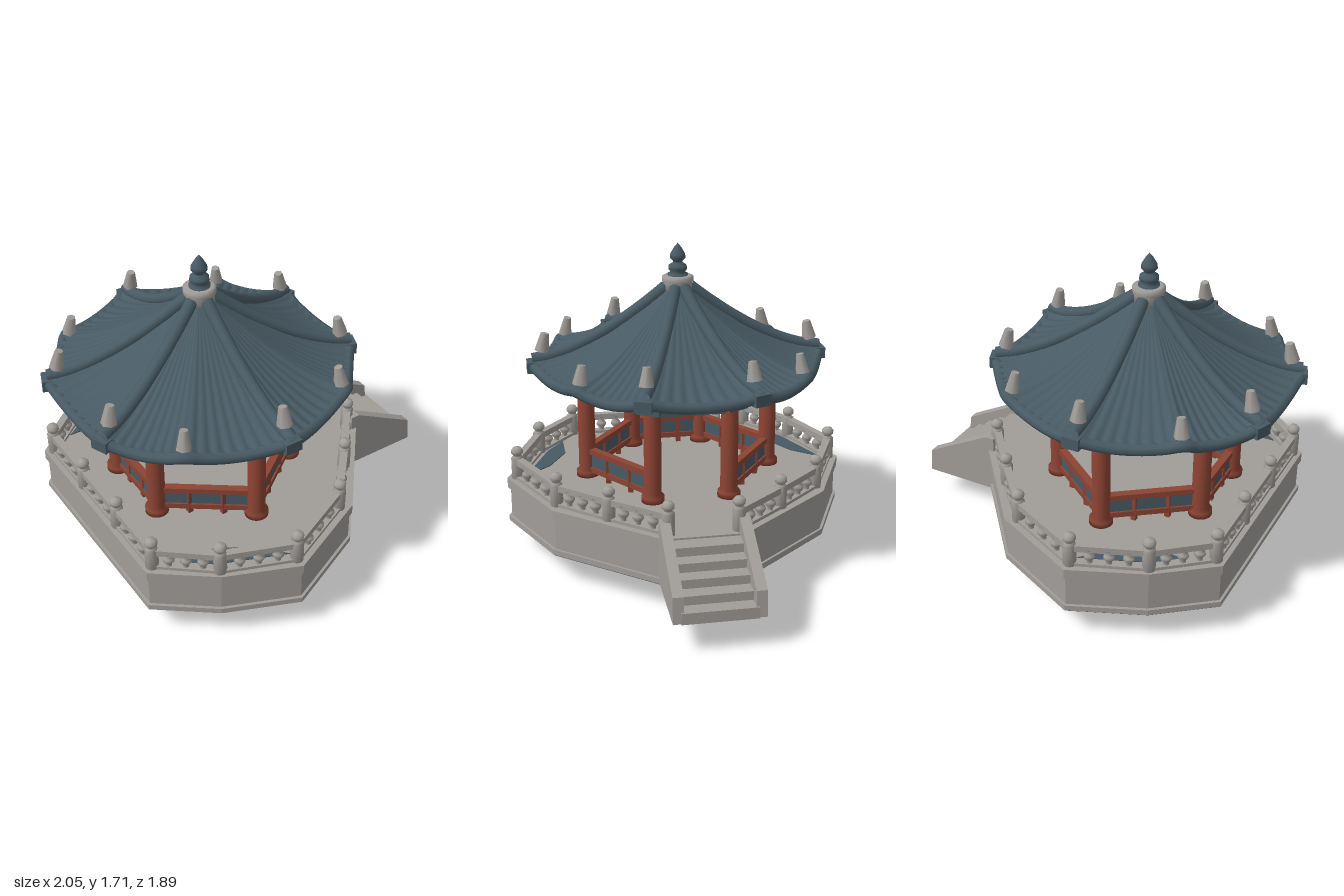
import * as THREE from 'three';

const CX = -0.27, CZ = -0.01; // pavilion axis

export function createModel() {
  const mat = (name, color, side = THREE.FrontSide) => {
    const m = new THREE.MeshStandardMaterial({ color, side });
    m.name = name;
    return m;
  };
  const slate = mat('slate blue', 0x485a64);
  const stone = mat('grey stone', 0xa19d99);
  const red = mat('red timber', 0x8c4333);

  const root = new THREE.Group();
  root.name = 'pavilion';
  const add = (name, geo, m, x = 0, y = 0, z = 0, parent = root) => {
    const mesh = new THREE.Mesh(geo, m);
    mesh.name = name;
    mesh.position.set(x, y, z);
    parent.add(mesh);
    return mesh;
  };
  const lathe = (pts, seg = 16) => new THREE.LatheGeometry(pts.map(p => new THREE.Vector2(...p)), seg);
  // horizontal beam between two [x, z] points, bottom y0 to top y1
  const bar = (name, a, b, y0, y1, width, m) => {
    const dx = b[0] - a[0], dz = b[1] - a[1];
    const mesh = add(name, new THREE.BoxGeometry(Math.hypot(dx, dz), y1 - y0, width), m,
      (a[0] + b[0]) / 2, (y0 + y1) / 2, (a[1] + b[1]) / 2);
    mesh.rotation.y = -Math.atan2(dz, dx);
    return mesh;
  };
  const mirrorZ = half => [...half, ...half.map(([x, z]) => [x, -z]).reverse()];

  // ---- platform ----
  const outline = [[0.61, 0.21], [0.18, 0.73], [-0.29, 0.945], [-0.67, 0.785], [-0.96, 0.56]];
  const slab = (name, pts, y0, y1, k, m) => {
    const shape = new THREE.Shape(pts.map(([x, z]) => new THREE.Vector2((x + 0.2) * k - 0.2, -z * k)));
    const geo = new THREE.ExtrudeGeometry(shape, { depth: y1 - y0, bevelEnabled: false });
    return add(name, geo.rotateX(-Math.PI / 2), m, 0, y0, 0);
  };
  const full = mirrorZ(outline);
  slab('platformUnderside', full, 0.16, 0.165, 0.995, slate);
  slab('platformFoot', full, 0.165, 0.195, 1, stone);
  slab('platformWall', full, 0.195, 0.365, 0.983, stone);
  slab('platformRim', full, 0.365, 0.42, 1, stone);
  const patch = [[-0.78, 0.6], [-0.64, 0.7], [-0.3, 0.84], [-0.42, 0.7], [-0.6, 0.6]];
  for (const s of [1, -1]) slab('floorPatch', patch.map(([x, z]) => [x, z * s]), 0.42, 0.425, 1, slate);

  // ---- pedestal ----
  add('pedestal', new THREE.CylinderGeometry(0.285, 0.28, 0.16, 40), slate, -0.275, 0.083, -0.02);
  add('pedestalBase', new THREE.CylinderGeometry(0.265, 0.265, 0.006, 40), stone, -0.275, 0.003, -0.02);

  // ---- stone balustrade ----
  const posts = mirrorZ([[0.56, 0.18], [0.335, 0.45], [0.11, 0.70], [-0.29, 0.885], [-0.65, 0.745],
    [-0.91, 0.53], [-0.91, 0.18]]);
  const postGeo = lathe([[0, 0], [0.034, 0], [0.034, 0.12], [0.022, 0.13], [0.022, 0.138], [0.032, 0.148],
    [0.033, 0.165], [0.022, 0.18], [0, 0.186]], 12);
  const balusterGeo = lathe([[0.024, 0], [0.012, 0.018], [0.03, 0.045], [0.026, 0.06], [0.012, 0.075], [0.024, 0.095]], 10);
  posts.forEach((p, i) => {
    add('railingPost', postGeo, stone, p[0], 0.418, p[1]);
    if (i === posts.length - 1) return; // stair opening
    const q = posts[i + 1];
    bar('railingTopRail', p, q, 0.505, 0.54, 0.04, stone);
    bar('railingBottomRail', p, q, 0.418, 0.437, 0.045, stone);
    for (let k = 1; k <= 3; k++) {
      const t = k / 4;
      add('baluster', balusterGeo, stone, p[0] + (q[0] - p[0]) * t, 0.425, p[1] + (q[1] - p[1]) * t);
    }
  });

  // ---- stairs ----
  const cheek = new THREE.Shape([[0.56, 0.165], [1, 0.165], [0.985, 0.3], [0.61, 0.5], [0.56, 0.5]]
    .map(p => new THREE.Vector2(...p)));
  const cheekGeo = new THREE.ExtrudeGeometry(cheek, { depth: 0.055, bevelEnabled: false });
  for (const z of [0.175, -0.23]) add('stairCheek', cheekGeo, stone, 0, 0, z);
  for (let i = 0; i < 5; i++) {
    add('stairStep', new THREE.BoxGeometry(0.1, 0.06, 0.38), stone, 0.65 + i * 0.076, 0.38 - i * 0.047, 0);
  }

  // ---- columns, beams and low panels ----
  const cols = [[0.415, 0.205], [0, 0.51], [-0.415, 0.205], [-0.415, -0.205], [0, -0.51], [0.415, -0.205]]
    .map(([x, z]) => [x + CX, z + CZ]);
  const colGeo = lathe([[0, 0], [0.062, 0], [0.062, 0.03], [0.047, 0.045], [0.046, 0.53], [0, 0.53]], 20);
  cols.forEach((a, i) => {
    const b = cols[(i + 1) % 6];
    add('column', colGeo, red, a[0], 0.42, a[1]);
    bar('lintel', a, b, 0.9, 1.02, 0.07, slate);
    // stepped bracket reaching outward under the eaves
    const dx = a[0] - CX, dz = a[1] - CZ, out = k => [CX + dx * k, CZ + dz * k];
    bar('bracketLower', out(0.82), out(1.16), 0.925, 0.97, 0.12, slate);
    bar('bracketUpper', out(0.8), out(1.3), 0.965, 1.03, 0.09, slate);
    if (i === 5) return; // entrance bay
    bar('panelTopRail', a, b, 0.555, 0.585, 0.04, red);
    bar('panelBottomRail', a, b, 0.45, 0.48, 0.035, red);
    bar('lowPanel', a, b, 0.47, 0.56, 0.016, slate);
    for (const t of [0.33, 0.67]) {
      add('panelStile', new THREE.BoxGeometry(0.028, 0.14, 0.028), red,
        a[0] + (b[0] - a[0]) * t, 0.49, a[1] + (b[1] - a[1]) * t);
    }
  });

  // ---- roof ----
  const roof = new THREE.Group();
  roof.name = 'roof';
  roof.position.set(CX, 0, CZ);
  root.add(roof);
  const quarter = [[0, 0.79], [0.475, 0.6], [0.73, 0.29]];
  const right = [...quarter, [0.73, -0.29], [0.475, -0.6]];
  const corners = [...right, ...right.map(([x, z]) => [-x, -z])];
  const hips = [0, 2, 3, 5, 7, 8];
  const N = 40, M = 14;
  const roofY = t => 1.1 + 0.37 * Math.pow(1 - t, 1.6);
  const sag = (u, t) => -0.04 * 4 * u * (1 - u) * t * t;
  // sheet spanning all ten eave edges; height(u, t) with t from centre to eave
  const sheet = (t0, height, flip) => {
    const pos = [], idx = [], W = 10 * N;
    for (let j = 0; j <= M; j++) for (let i = 0; i < W; i++) {
      const e = Math.floor(i / N), u = (i % N) / N, t = j / M;
      const a = corners[e], b = corners[(e + 1) % 10], k = t0 + (1 - t0) * t;
      pos.push((a[0] + (b[0] - a[0]) * u) * k, height(u, t), (a[1] + (b[1] - a[1]) * u) * k);
      if (j === M) continue;
      const n = (i + 1) % W, p = j * W + i, q = j * W + n, r = p + W, s = q + W;
      if (flip) idx.push(p, s, r, p, q, s);
      else idx.push(p, r, s, p, s, q);
    }
    const g = new THREE.BufferGeometry();
    g.setAttribute('position', new THREE.Float32BufferAttribute(pos, 3));
    g.setIndex(idx);
    g.computeVertexNormals();
    return g;
  };
  const ripple = (u, n) => Math.abs(Math.sin(Math.PI * n * u));
  add('roofTiles', sheet(0.08, (u, t) => roofY(t) + sag(u, t) + 0.012 * t * ripple(u, 8), false), slate, 0, 0, 0, roof);
  add('roofSoffit', sheet(0.02, (u, t) => 0.99 + 0.06 * Math.pow(t, 3) + sag(u, t) * 0.5
    + 0.02 * t * ripple(u, 4), true), slate, 0, 0, 0, roof);

  // rounded eave edge
  const eave = [];
  corners.forEach((a, e) => {
    const b = corners[(e + 1) % 10];
    for (let k = 0; k < 6; k++) {
      const u = k / 6;
      eave.push(new THREE.Vector3(a[0] + (b[0] - a[0]) * u, 1.078 + sag(u, 0.95), a[1] + (b[1] - a[1]) * u));
    }
  });
  add('eaveEdge', new THREE.TubeGeometry(new THREE.CatmullRomCurve3(eave, true), 180, 0.03, 8, true), slate, 0, 0, 0, roof);

  // hip ridges and corner ornaments
  const ornamentGeo = new THREE.CylinderGeometry(0.022, 0.04, 0.1, 6);
  corners.forEach(([x, z], i) => {
    const angle = Math.atan2(x, z), isHip = hips.includes(i);
    const arm = new THREE.Group();
    arm.name = isHip ? 'hipRidge' : 'eaveCorner';
    arm.rotation.y = angle;
    roof.add(arm);
    const R = Math.hypot(x, z);
    if (isHip) {
      const pts = [];
      for (let k = 0; k <= 8; k++) {
        const t = k / 8;
        pts.push(new THREE.Vector3(0, roofY(t) + 0.008, R * (0.08 + 0.92 * t)));
      }
      add('ridgeTube', new THREE.TubeGeometry(new THREE.CatmullRomCurve3(pts), 30, 0.033, 10), slate, 0, 0, 0, arm);
      add('ridgeEndTile', new THREE.BoxGeometry(0.09, 0.06, 0.05), slate, 0, 1.07, R + 0.005, arm);
    }
    const o = add('eaveOrnament', ornamentGeo, stone, 0, isHip ? 1.2 : 1.155, R * (isHip ? 0.92 : 0.95), arm);
    o.rotation.x = -0.2;
  });

  // ---- collar and finial ----
  add('finialCollar', lathe([[0, 1.44], [0.078, 1.44], [0.078, 1.5], [0.084, 1.505], [0.084, 1.53], [0.07, 1.537],
    [0, 1.537]], 24), stone, 0, 0, 0, roof);
  add('finial', lathe([[0.055, 1.53], [0.055, 1.545], [0.035, 1.55], [0.05, 1.57], [0.048, 1.59], [0.026, 1.605],
    [0.026, 1.613], [0.042, 1.63], [0.04, 1.65], [0.02, 1.685], [0, 1.71]], 20), slate, 0, 0, 0, roof);

  return root;
}
